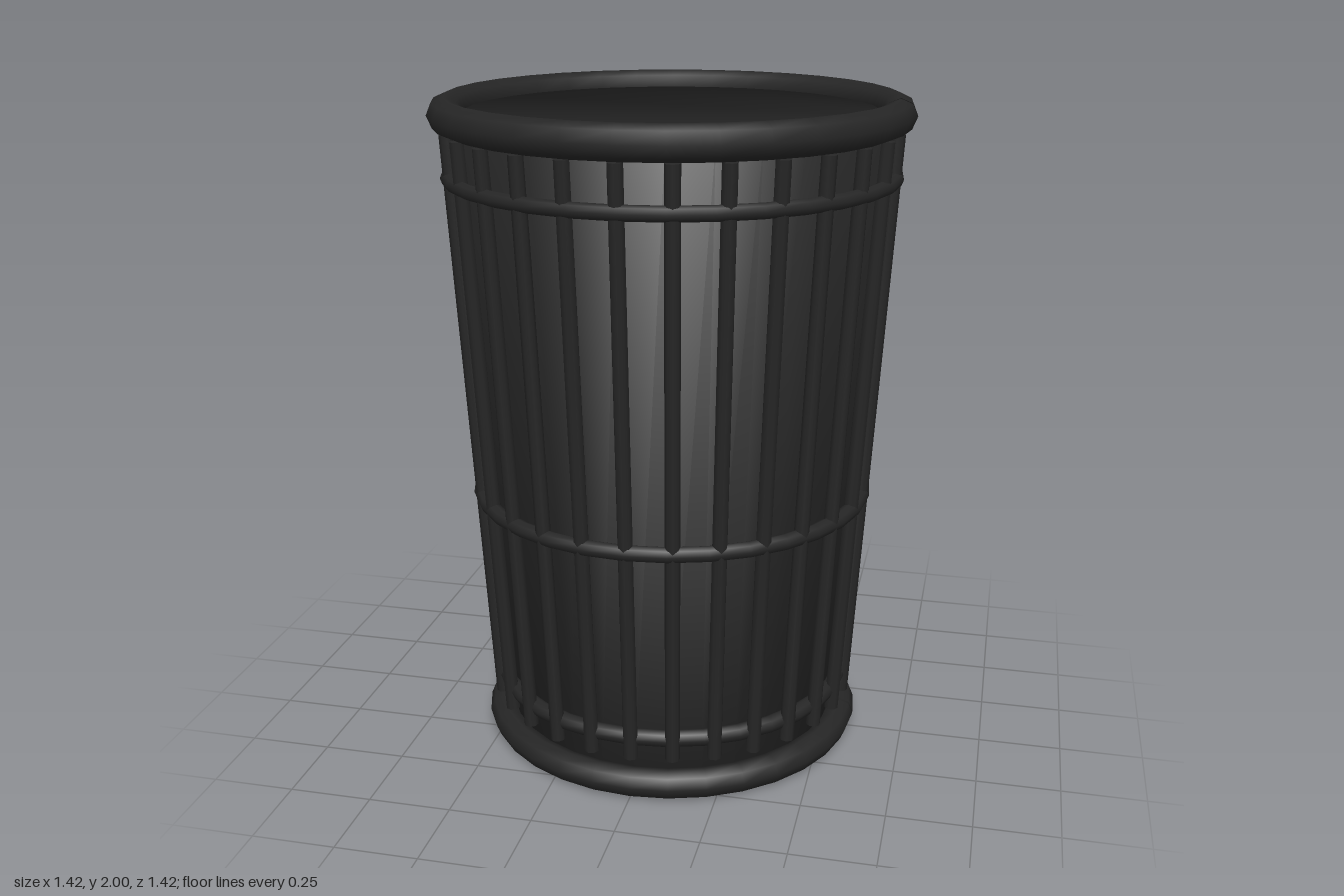
import * as THREE from 'three';

const SIDES = 32;
const BARS = 28;

// Solid tapered drum whose normals roll softly from the wall onto both ends
function drumGeometry(rBottom, yBottom, rTop, yTop) {
  const pos = [], nor = [], idx = [];
  for (const [r, y, up] of [[rBottom, yBottom, -1], [rTop, yTop, 1]]) {
    for (let i = 0; i < SIDES; i++) {
      const a = (i / SIDES) * Math.PI * 2;
      pos.push(r * Math.cos(a), y, r * Math.sin(a));
      const n = new THREE.Vector3(Math.cos(a), 0.47 * up, Math.sin(a)).normalize();
      nor.push(n.x, n.y, n.z);
    }
  }
  for (let i = 0; i < SIDES; i++) {
    const j = (i + 1) % SIDES;
    idx.push(i, i + SIDES, j, j, i + SIDES, j + SIDES);
    if (i > 0 && j > 0) {
      idx.push(0, i, j);                           // bottom end
      idx.push(SIDES, SIDES + j, SIDES + i);       // top end
    }
  }
  const g = new THREE.BufferGeometry();
  g.setAttribute('position', new THREE.Float32BufferAttribute(pos, 3));
  g.setAttribute('normal', new THREE.Float32BufferAttribute(nor, 3));
  g.setIndex(idx);
  return g;
}

export function createModel() {
  const model = new THREE.Group();
  model.name = 'wasteBin';

  const blackMetal = new THREE.MeshStandardMaterial({ color: 0x262626, side: THREE.DoubleSide });
  blackMetal.name = 'blackMetal';

  const add = (name, geometry, parent = model) => {
    const mesh = new THREE.Mesh(geometry, blackMetal);
    mesh.name = name;
    parent.add(mesh);
    return mesh;
  };

  // Drum
  add('drum', drumGeometry(0.515, 0.045, 0.65, 1.95));

  // Bent hoops, each with a narrow open joint on the +x side
  const hoop = (name, y, radius, tube, gap) => {
    const g = new THREE.TorusGeometry(radius, tube, 8, SIDES, Math.PI * 2 - gap);
    g.rotateX(Math.PI / 2);
    g.translate(0, y, 0);
    add(name, g);
  };
  hoop('rim', 1.95, 0.66, 0.05, 0.018);
  hoop('upperHoop', 1.77, 0.657, 0.022, 0.01);
  hoop('middleHoop', 0.8, 0.595, 0.024, 0.01);
  hoop('lowerHoop', 0.19, 0.54, 0.026, 0.01);
  hoop('baseRing', 0.045, 0.55, 0.045, 0.018);

  // Upright bars leaning outward around the drum
  const bars = new THREE.Group();
  bars.name = 'bars';
  model.add(bars);
  const low = new THREE.Vector2(0.553, 0.13), high = new THREE.Vector2(0.657, 1.9);
  const barGeometry = new THREE.CylinderGeometry(0.022, 0.022, low.distanceTo(high), 8);
  barGeometry.rotateZ(-Math.atan2(high.x - low.x, high.y - low.y));
  barGeometry.translate((low.x + high.x) / 2, (low.y + high.y) / 2, 0);
  for (let i = 0; i < BARS; i++) {
    add('bar', barGeometry, bars).rotation.y = (i / BARS) * Math.PI * 2;
  }

  return model;
}
